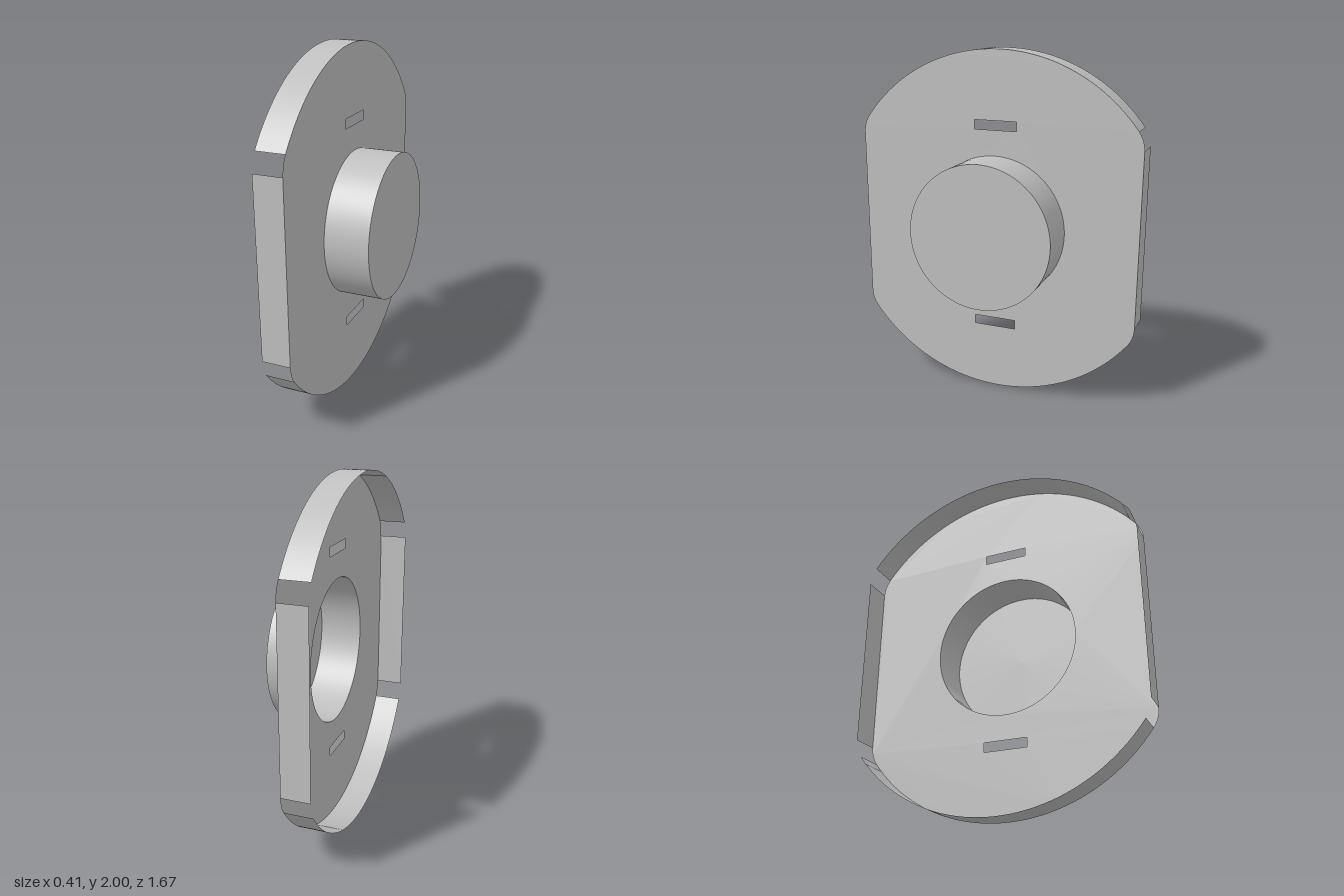
import * as THREE from 'three';

const BACK = -0.206, FACE = -0.045, TIP = 0.206; // depth stations along x
const CY = 1;                                    // height of the centre
const HUB_R = 0.415;
const FILLET = 1 / 6;                            // corner blend radius
const ARC = Math.atan2(0.6, 0.8);                // angle where the rim arc ends
const HALF_W = 0.8 + 0.2 * FILLET, FLAT = 0.6 * (1 - FILLET);

export function createModel() {
  const group = new THREE.Group();
  const steel = new THREE.MeshStandardMaterial({ color: 0xc0c0c0, side: THREE.DoubleSide });
  steel.name = 'plain grey';

  const add = (name, geometry, x, y = CY, z = 0) => {
    const mesh = new THREE.Mesh(geometry, steel);
    mesh.name = name;
    mesh.position.set(x, y, z);
    group.add(mesh);
    return mesh;
  };

  // Open band about the x axis; angles run from +z towards +y
  const band = (radius, from, to, start = 0, sweep = Math.PI * 2) =>
    new THREE.CylinderGeometry(radius, radius, to - from, 96, 1, true, start, sweep).rotateZ(Math.PI / 2);

  // Face sheet: round top and bottom, flat sides, blended corners
  const outline = new THREE.Shape();
  const cx = 0.8 * (1 - FILLET);
  outline.absarc(0, 0, 1, ARC, Math.PI - ARC, false);
  outline.absarc(-cx, FLAT, FILLET, Math.PI - ARC, Math.PI, false);
  outline.absarc(-cx, -FLAT, FILLET, Math.PI, Math.PI + ARC, false);
  outline.absarc(0, 0, 1, Math.PI + ARC, 2 * Math.PI - ARC, false);
  outline.absarc(cx, -FLAT, FILLET, -ARC, 0, false);
  outline.absarc(cx, FLAT, FILLET, 0, ARC, false);
  outline.closePath();

  // Hub opening and the two slots
  outline.holes.push(new THREE.Path().absarc(0, 0, HUB_R, 0, Math.PI * 2, true));
  for (const s of [1, -1]) {
    outline.holes.push(new THREE.Path([
      [-0.125, 0.56], [-0.125, 0.613], [0.125, 0.613], [0.125, 0.56],
    ].map(([u, v]) => new THREE.Vector2(u, s * v))));
  }
  add('faceSheet', new THREE.ShapeGeometry(outline, 48).rotateY(Math.PI / 2), FACE);

  // Skirt: separate arc and flat flanges, open at the corners
  const mid = (BACK + FACE) / 2;
  add('topFlange', band(1, BACK, FACE, ARC, Math.PI - 2 * ARC), mid);
  add('bottomFlange', band(1, BACK, FACE, Math.PI + ARC, Math.PI - 2 * ARC), mid);
  for (const s of [1, -1]) {
    const flange = add(s > 0 ? 'frontFlange' : 'backFlange',
      new THREE.PlaneGeometry(FACE - BACK, 2 * FLAT), mid, CY, s * HALF_W);
    if (s < 0) flange.rotation.y = Math.PI;
  }

  // Hollow hub, open towards the skirt side
  add('hubWall', band(HUB_R, FACE, TIP), (FACE + TIP) / 2);
  add('hubCap', new THREE.CircleGeometry(HUB_R, 96).rotateY(Math.PI / 2), TIP);

  return group;
}
